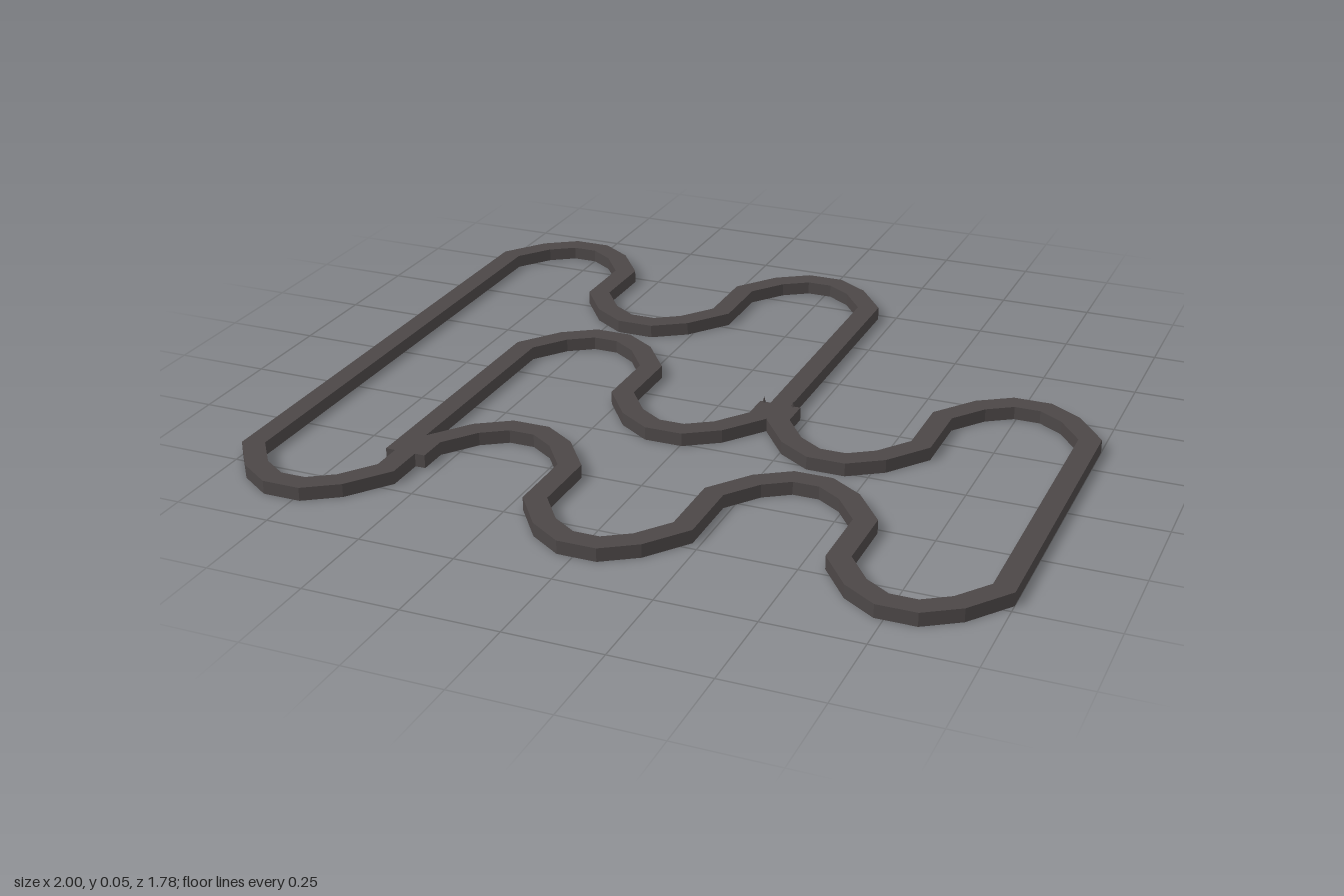
import * as THREE from 'three';

const WIDTH = 0.056, HEIGHT = 0.035;

// Five-segment U-bend from x0 to x1 starting at z; dir -1 bulges to the back, +1 to the front
function bend(x0, x1, z, dir) {
  const c = (x0 + x1) / 2, r = (x1 - x0) / 2;
  return [[-1, 0], [-0.62, 0.097], [-0.22, 0.147], [0.22, 0.147], [0.62, 0.097], [1, 0]]
    .map(([u, d]) => new THREE.Vector2(c + u * r, z + dir * d));
}

// Flat bar with mitred corners following a plan path of (x, z) points
function railGeometry(path) {
  const left = [], right = [];
  path.forEach((p, i) => {
    const a = path[Math.max(i - 1, 0)], b = path[Math.min(i + 1, path.length - 1)];
    const d0 = (i > 0 ? p.clone().sub(a) : b.clone().sub(p)).normalize();
    const d1 = (i < path.length - 1 ? b.clone().sub(p) : d0.clone()).normalize();
    const n0 = new THREE.Vector2(-d0.y, d0.x), n1 = new THREE.Vector2(-d1.y, d1.x);
    const m = n0.clone().add(n1).normalize();
    m.multiplyScalar(WIDTH / 2 / m.dot(n0));
    left.push(new THREE.Vector2(p.x + m.x, -p.y - m.y));
    right.unshift(new THREE.Vector2(p.x - m.x, -p.y + m.y));
  });
  const geo = new THREE.ExtrudeGeometry(new THREE.Shape([...left, ...right]),
    { depth: HEIGHT, bevelEnabled: false });
  return geo.rotateX(-Math.PI / 2);
}

export function createModel() {
  const group = new THREE.Group();
  const iron = new THREE.MeshStandardMaterial({ color: 0x4c4747 });
  iron.name = 'dark iron';
  const add = (geo, name) => {
    const mesh = new THREE.Mesh(geo, iron);
    mesh.name = name;
    group.add(mesh);
    return mesh;
  };
  const point = (x, z) => new THREE.Vector2(x, z);

  // Rail around the back and right-hand edge
  add(railGeometry([
    point(-0.592, 0.615),
    ...bend(-0.592, -0.972, 0.71, 1),
    ...bend(-0.972, -0.592, -0.715, -1),
    ...bend(-0.592, -0.208, -0.53, 1),
    ...bend(-0.208, 0.175, -0.715, -1),
    point(0.175, 0),
  ]), 'backRail');

  // Rail through the middle
  add(railGeometry([
    point(-0.618, 0.615),
    ...bend(-0.618, -0.238, -0.1, -1),
    ...bend(-0.238, 0.146, 0.085, 1),
    point(0.146, 0),
  ]), 'middleRail');

  // Rail around the left-hand and front edge
  add(railGeometry([
    point(0.202, 0),
    ...bend(0.202, 0.585, 0.09, 1),
    ...bend(0.585, 0.972, -0.095, -1),
    ...bend(0.972, 0.585, 0.715, 1),
    ...bend(0.585, 0.202, 0.525, -1),
    ...bend(0.202, -0.182, 0.715, 1),
    ...bend(-0.182, -0.565, 0.525, -1),
    point(-0.565, 0.615),
  ]), 'frontRail');

  // Small burrs at the open joint
  for (const x of [0.13, 0.21]) {
    const burr = add(new THREE.ConeGeometry(0.006, 0.02, 4), 'jointBurr');
    burr.position.set(x, 0.041, 0.002);
  }
  return group;
}
